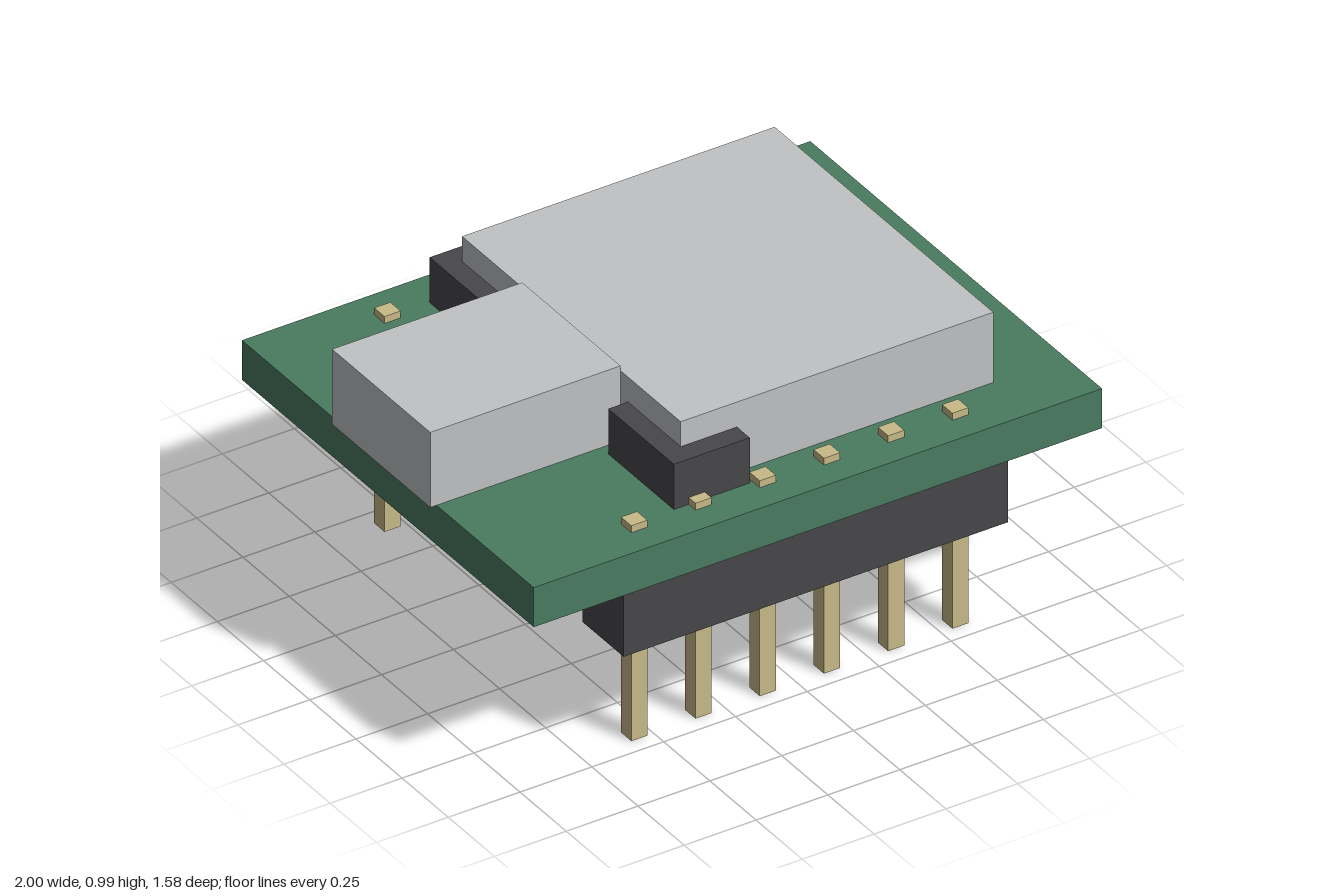
import * as THREE from 'three';

export function createModel() {
  const model = new THREE.Group();
  model.name = 'circuitModule';

  const material = (name, color) => {
    const m = new THREE.MeshStandardMaterial({ color });
    m.name = name;
    return m;
  };
  const green = material('boardGreen', 0x4a7c61);
  const silver = material('silverGrey', 0xc0c2c4);
  const dark = material('darkPlastic', 0x48474a);
  const gold = material('paleGold', 0xc8bb88);

  // Box given by its lower and upper limits on each axis
  function addBox(name, mat, [x0, x1], [y0, y1], [z0, z1], parent = model) {
    const mesh = new THREE.Mesh(new THREE.BoxGeometry(x1 - x0, y1 - y0, z1 - z0), mat);
    mesh.position.set((x0 + x1) / 2, (y0 + y1) / 2, (z0 + z1) / 2);
    mesh.name = name;
    parent.add(mesh);
  }

  // Board with the large housing and the connector overhanging its edge
  addBox('board', green, [-0.978, 1], [0.59, 0.728], [-0.79, 0.79]);
  addBox('housing', silver, [-0.338, 0.75], [0.728, 0.973], [-0.594, 0.59]);
  addBox('connector', silver, [-1, -0.338], [0.728, 0.99], [-0.268, 0.264]);

  // Dark blocks partly under the housing corners
  addBox('backBlock', dark, [-0.406, -0.142], [0.728, 0.886], [-0.663, -0.308]);
  addBox('frontBlock', dark, [-0.406, -0.142], [0.728, 0.886], [0.304, 0.659]);

  // Pin headers along the front and back edges
  for (const [name, z] of [['front', 0.668], ['back', -0.668]]) {
    const header = new THREE.Group();
    header.name = name + 'Header';
    addBox(name + 'HeaderBase', dark, [-0.658, 0.68], [0.368, 0.59], [z - 0.111, z + 0.111], header);
    for (let i = 0; i < 6; i++) {
      const x = -0.55 + i * 0.2235;
      addBox(name + 'Pin' + (i + 1), gold, [x - 0.028, x + 0.028], [0, 0.752], [z - 0.028, z + 0.028], header);
    }
    model.add(header);
  }

  return model;
}
